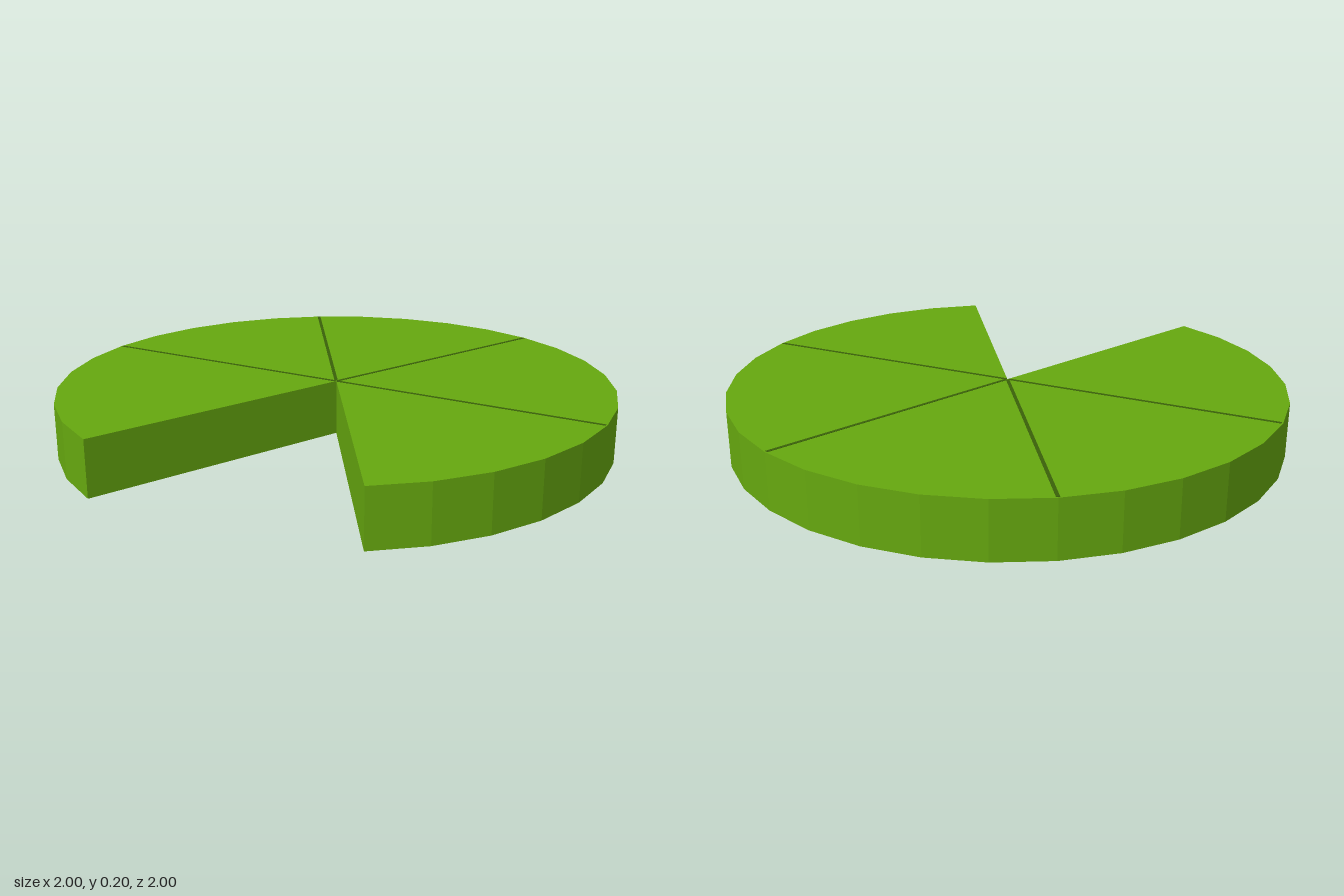
import * as THREE from 'three';

const SIDES = 32;
const HEIGHT = 0.2;
const STEP = (Math.PI * 2) / SIDES;
const START = -9; // first rim corner, counted in steps from +x towards the back
const SPAN = 27; // rim facets that remain after one slice is taken out
const CUTS = [-4, 2, 7, 12]; // rim corners where the slices meet

export function createModel() {
  const group = new THREE.Group();
  const green = new THREE.MeshStandardMaterial({ color: 0x66a80f, flatShading: true });
  const darkGreen = new THREE.MeshStandardMaterial({ color: 0x3a6108 });

  // Faceted disc with one slice missing
  const outline = new THREE.Shape();
  outline.moveTo(0, 0);
  for (let i = START; i <= START + SPAN; i++) {
    outline.lineTo(Math.cos(i * STEP), Math.sin(i * STEP));
  }
  outline.closePath();
  const bodyGeometry = new THREE.ExtrudeGeometry(outline, { depth: HEIGHT, bevelEnabled: false });
  bodyGeometry.rotateX(-Math.PI / 2);
  const body = new THREE.Mesh(bodyGeometry, green);
  body.name = 'slicedDisc';
  group.add(body);

  // Thin lines from the centre to the rim between the slices
  const lineGeometry = new THREE.BoxGeometry(0.99, 0.002, 0.012);
  lineGeometry.translate(0.5, HEIGHT, 0);
  CUTS.forEach((corner, i) => {
    const line = new THREE.Mesh(lineGeometry, darkGreen);
    line.name = `sliceLine${i + 1}`;
    line.rotation.y = corner * STEP;
    group.add(line);
  });

  return group;
}
